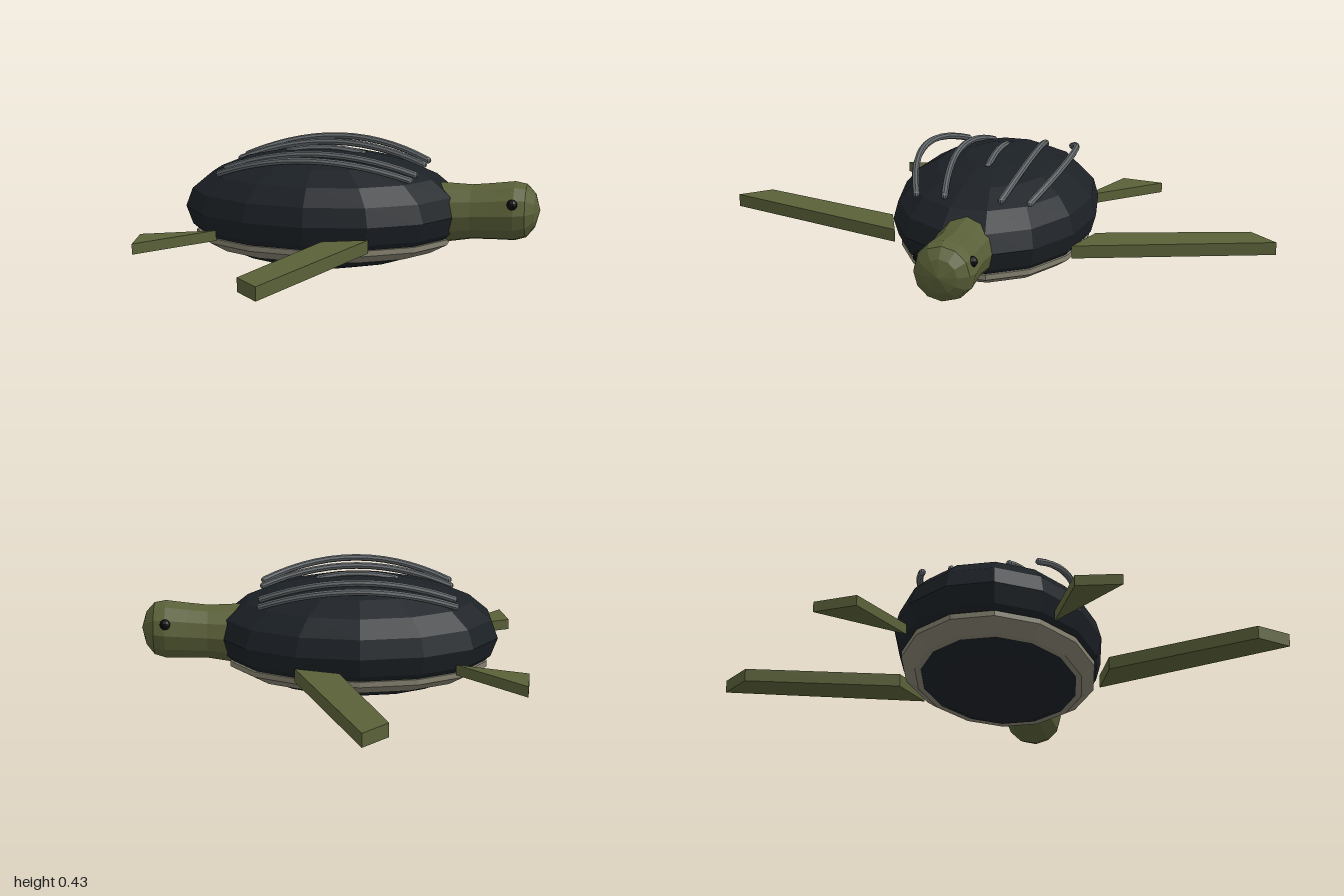
import * as THREE from 'three';

const mat = (color) => new THREE.MeshStandardMaterial({ color, flatShading: true });
const olive = mat(0x5a6038), dark = mat(0x1c2126), tan = mat(0x858170), grey = mat(0x62676a), black = mat(0x0c0c0c);

export function createModel() {
  const turtle = new THREE.Group();
  turtle.name = 'turtle';
  const add = (name, geometry, material) => {
    const mesh = new THREE.Mesh(geometry, material);
    mesh.name = name;
    turtle.add(mesh);
    return mesh;
  };

  // Shell: faceted ellipsoid
  const shell = new THREE.SphereGeometry(1, 14, 10);
  shell.rotateY(Math.PI / 2).scale(0.5, 0.21, 0.36).translate(-0.1, 0.212, 0);
  add('shell', shell, dark);

  // Pale rim around the underside
  const rim = new THREE.LatheGeometry([
    [0.7, 0.075], [0.8, 0.075], [0.925, 0.108], [0.925, 0.127], [0.85, 0.127],
  ].map(([r, y]) => new THREE.Vector2(r, y)), 14);
  rim.scale(0.5, 1, 0.36).translate(-0.1, 0, 0);
  add('bellyRim', rim, tan);

  // Neck and head: one turned profile laid along x, rising slightly forward
  const head = new THREE.LatheGeometry([
    [0.112, 0.28], [0.105, 0.35], [0.097, 0.43], [0.1, 0.5], [0.105, 0.58],
    [0.095, 0.62], [0.06, 0.65], [0, 0.667],
  ].map(([r, x]) => new THREE.Vector2(r, x)), 12);
  head.rotateZ(-Math.PI / 2);
  const p = head.attributes.position;
  for (let i = 0; i < p.count; i++) p.setY(i, p.getY(i) + 0.21 + (p.getX(i) - 0.33) * 0.06);
  head.computeVertexNormals();
  add('neckAndHead', head, olive);

  // Slab flipper from a plan outline of [x, z] points
  const flipper = (name, points, y0, y1) => {
    const shape = new THREE.Shape(points.map(([x, z]) => new THREE.Vector2(x, -z)));
    const g = new THREE.ExtrudeGeometry(shape, { depth: y1 - y0, bevelEnabled: false });
    g.rotateX(-Math.PI / 2).translate(0, y0, 0);
    add(name, g, olive);
  };

  // Curved ridge through two ends and a raised middle
  const ridge = (name, x0, x1, yEnd, zEnd, zMid) => {
    const curve = new THREE.QuadraticBezierCurve3(
      new THREE.Vector3(x0, yEnd, zEnd),
      new THREE.Vector3((x0 + x1) / 2, 0.424 * 2 - yEnd, zMid * 2 - zEnd),
      new THREE.Vector3(x1, yEnd, zEnd));
    add(name, new THREE.TubeGeometry(curve, 14, 0.012, 8), grey);
    for (const t of [0, 1]) {
      const cap = new THREE.SphereGeometry(0.012, 8, 6);
      add(name + 'End', cap, grey).position.copy(curve.getPoint(t));
    }
  };
  ridge('centreRidge', -0.23, 0.04, 0.408, 0, 0);

  // Paired parts, mirrored across z
  for (const s of [1, -1]) {
    const side = s > 0 ? 'near' : 'far';
    const plan = (pts) => pts.map(([x, z]) => [x, z * s]);
    flipper(side + 'FrontFlipper', plan([[-0.18, 0.9], [-0.095, 1], [0.12, 0.32], [-0.03, 0.375]]), 0.125, 0.171);
    flipper(side + 'RearFlipper', plan([[-0.43, 0.25], [-0.67, 0.355], [-0.65, 0.507]]), 0.128, 0.165);
    ridge(side + 'InnerRidge', -0.43, 0.24, 0.358, 0.1 * s, 0.135 * s);
    ridge(side + 'OuterRidge', -0.43, 0.24, 0.356, 0.2 * s, 0.267 * s);
    add(side + 'Eye', new THREE.SphereGeometry(0.019, 10, 8), black).position.set(0.577, 0.263, 0.09 * s);
  }
  return turtle;
}
